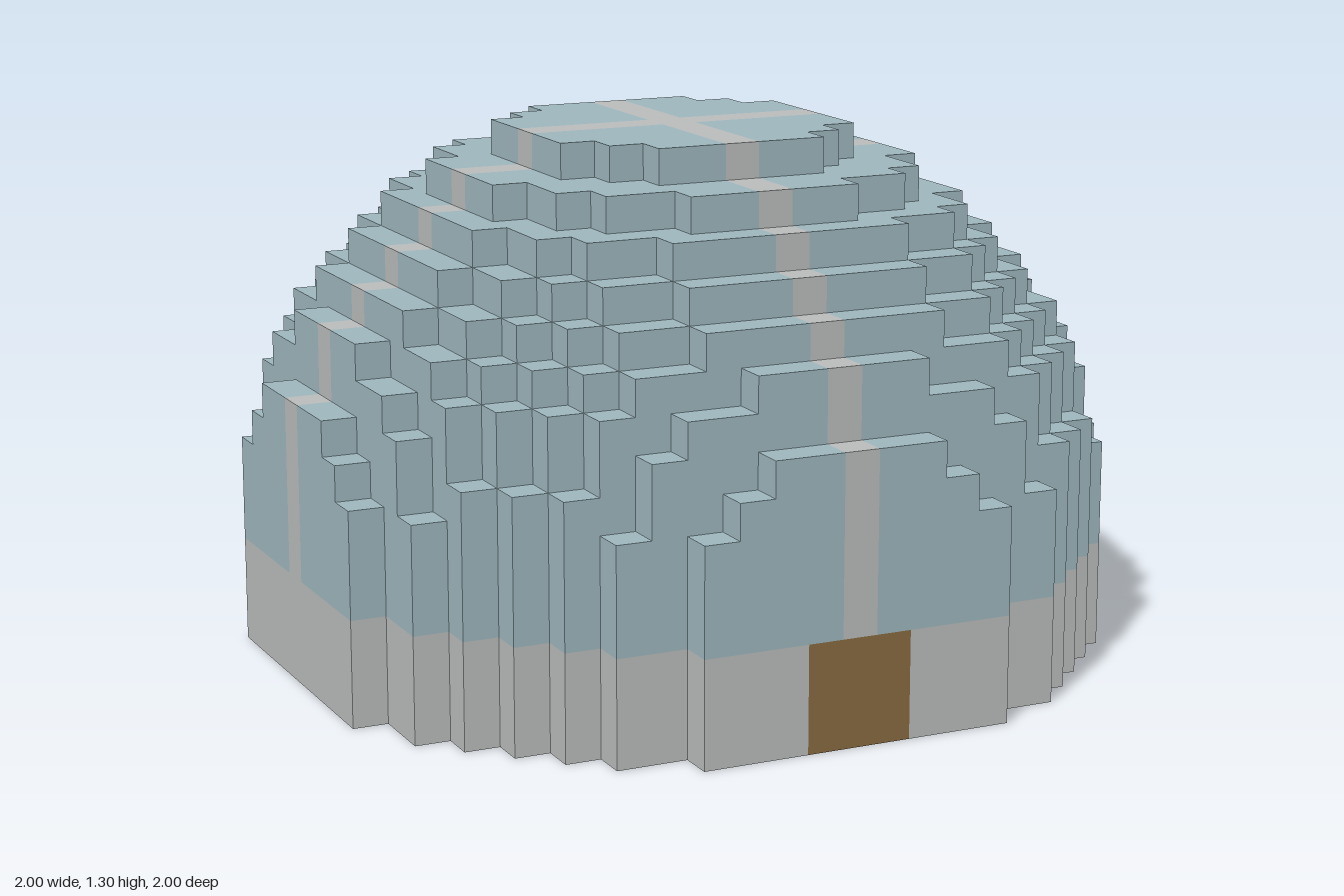
import * as THREE from 'three';
import { mergeGeometries } from 'three/addons/utils/BufferGeometryUtils.js';

const U = 2 / 23;        // size of one block
const R2 = 144;          // squared dome radius in blocks
const SPRING = 3;        // layer where the straight wall turns into the dome

const mat = (name, color) => {
  const m = new THREE.MeshStandardMaterial({ color });
  m.name = name;
  return m;
};

// Solid dome on a short cylindrical wall
const inside = (x, y, z) => {
  const dy = Math.max(0, y - SPRING);
  return x * x + dy * dy + z * z < R2;
};

// Hollow shell: solid blocks with at least one open neighbour
const isShell = (x, y, z) => inside(x, y, z) && !(
  inside(x + 1, y, z) && inside(x - 1, y, z) && inside(x, y + 1, z) &&
  inside(x, y, z + 1) && inside(x, y, z - 1));

const DIRS = [[1, 0, 0], [-1, 0, 0], [0, 1, 0], [0, -1, 0], [0, 0, 1], [0, 0, -1]];
const key = (x, y, z) => `${x},${y},${z}`;

// One square face of a block, turned towards direction d
function blockFace(x, y, z, d) {
  const g = new THREE.PlaneGeometry(U, U);
  if (d[0]) g.rotateY(d[0] * Math.PI / 2);
  else if (d[1]) g.rotateX(-d[1] * Math.PI / 2);
  else if (d[2] < 0) g.rotateY(Math.PI);
  return g.translate((x + d[0] / 2) * U, (y + 0.5 + d[1] / 2) * U, (z + d[2] / 2) * U);
}

export function createModel() {
  const group = new THREE.Group();
  group.name = 'steppedDome';

  const frame = mat('pale grey', 0xbcbebe);
  const materials = {
    glassPanels: mat('pale blue', 0x9fb8bf),
    baseWall: frame,
    ribs: frame,
    door: mat('brown wood', 0x8a6c42),
    centreBlock: frame,
    bench: mat('brown wood bench', 0x7a5a34),
    plants: mat('leaf green', 0x4f8030),
  };

  // Assign every block to a part
  const blocks = new Map();
  const put = (x, y, z, part) => blocks.set(key(x, y, z), { x, y, z, part });
  for (let y = 0; y < 15; y++)
    for (let x = -11; x <= 11; x++)
      for (let z = -11; z <= 11; z++) {
        if (!isShell(x, y, z)) continue;
        let part = 'glassPanels';
        if (y < 3) part = z === 11 && Math.abs(x) <= 1 ? 'door' : 'baseWall';
        else if (x === 0 || z === 0) part = 'ribs';
        put(x, y, z, part);
      }

  // Furnishings on the floor inside
  put(0, 0, 0, 'centreBlock');
  for (const x of [-1, 0, 1]) put(x, 0, -9, 'bench');
  for (const x of [-4, -3, 3, 4]) put(x, 0, -9, 'plants');

  // Keep only the exposed faces and merge them part by part
  const faces = {};
  for (const { x, y, z, part } of blocks.values())
    for (const d of DIRS)
      if (!blocks.has(key(x + d[0], y + d[1], z + d[2])))
        (faces[part] ??= []).push(blockFace(x, y, z, d));

  for (const [part, list] of Object.entries(faces)) {
    const mesh = new THREE.Mesh(mergeGeometries(list), materials[part]);
    mesh.name = part;
    group.add(mesh);
  }
  return group;
}
